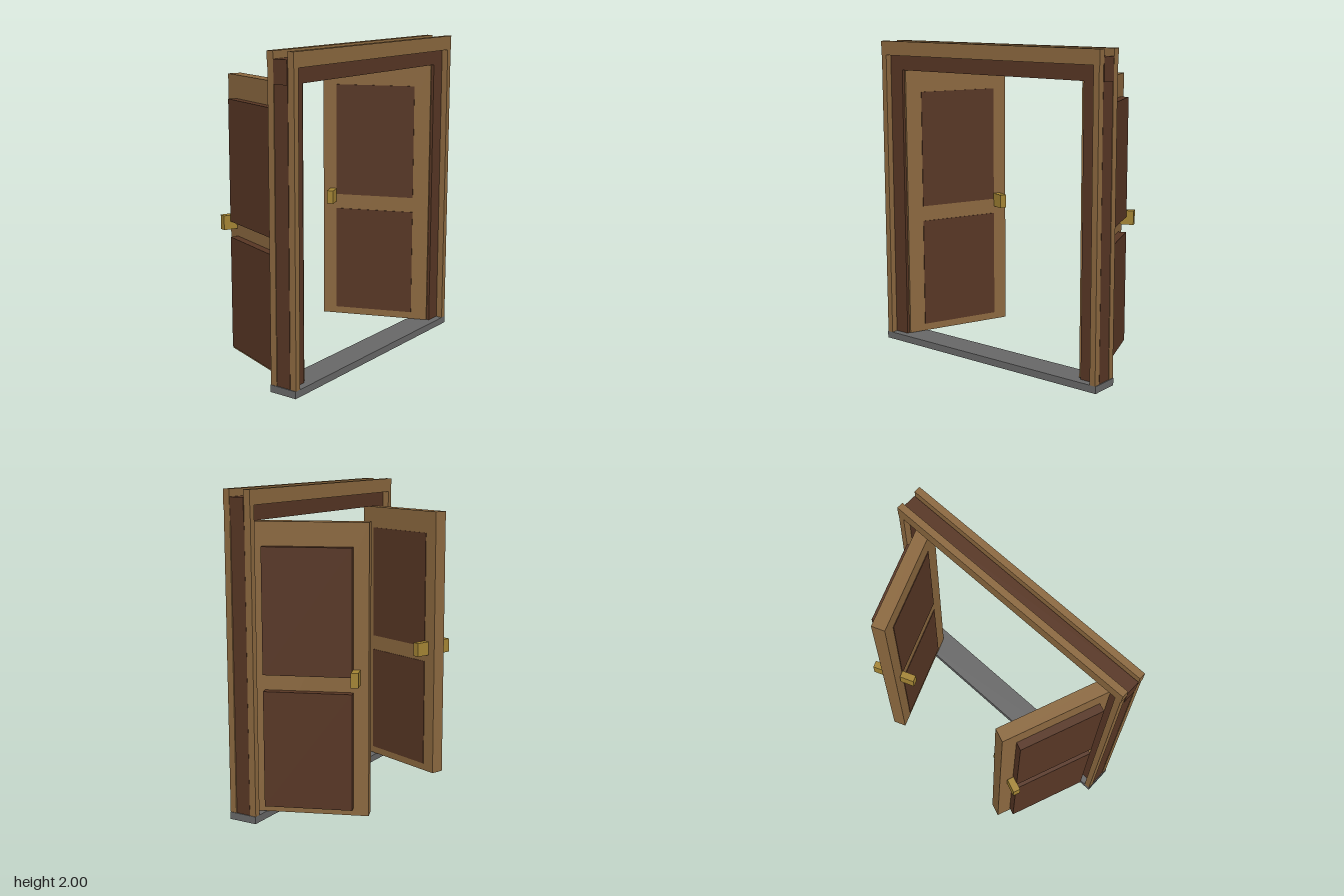
import * as THREE from 'three';

const mat = (name, color) => {
  const m = new THREE.MeshStandardMaterial({ color });
  m.name = name;
  return m;
};

export function createModel() {
  const wood = mat('light wood', 0x8b683f);
  const darkWood = mat('dark wood', 0x573624);
  const brass = mat('brass', 0xa38434);
  const stone = mat('grey stone', 0x676767);

  // Box given by its lower and upper limits on each axis
  const box = (parent, name, material, [x0, x1], [y0, y1], [z0, z1]) => {
    const mesh = new THREE.Mesh(new THREE.BoxGeometry(x1 - x0, y1 - y0, z1 - z0), material);
    mesh.name = name;
    mesh.position.set((x0 + x1) / 2, (y0 + y1) / 2, (z0 + z1) / 2);
    parent.add(mesh);
  };

  const model = new THREE.Group();
  model.name = 'doubleDoor';

  // Door frame: sill, header and trims on both faces
  const frame = new THREE.Group();
  frame.name = 'frame';
  model.add(frame);
  const jambZ = [0.245, 0.34];
  const trims = { front: [0.344, 0.386], back: [0.2, 0.243] };
  const full = [-0.855, 0.855];
  box(frame, 'sill', stone, full, [0.001, 0.046], [0.2, 0.386]);
  box(frame, 'header', darkWood, full, [1.815, 1.955], jambZ);
  for (const [side, z] of Object.entries(trims)) {
    box(frame, side + 'HeaderTrim', wood, full, [1.91, 2], z);
  }

  for (const [side, s] of [['left', 1], ['right', -1]]) {
    const span = (a, b) => (s > 0 ? [a, b] : [-b, -a]);

    // Upright jamb, passing through the sill, with its trims
    box(frame, side + 'Jamb', darkWood, span(0.715, 0.849), [0, 1.815], jambZ);
    for (const [face, z] of Object.entries(trims)) {
      box(frame, `${side}${face}PostTrim`, wood, span(0.812, 0.851), [0.046, 1.91], z);
    }

    // Door swung open backwards; local x runs from the hinge to the free edge
    const door = new THREE.Group();
    door.name = side + 'Door';
    door.position.set(s * 0.737, 0, 0.313);
    door.rotation.y = s > 0 ? Math.PI - 1.2 : 1.2;
    model.add(door);

    // Local z is mirrored so that negative depth is always the outer side
    const depth = (a, b) => (s > 0 ? [-b, -a] : [a, b]);
    box(door, 'doorLeaf', wood, [0, 0.735], [0.05, 1.813], depth(-0.043, 0.043));
    for (const [name, y] of [['lowerPanel', [0.097, 0.81]], ['upperPanel', [0.91, 1.67]]]) {
      box(door, name, darkWood, [0.108, 0.643], y, depth(-0.094, 0.047));
    }
    for (const [name, z] of [['outerHandle', [-0.139, -0.049]], ['innerHandle', [0.049, 0.143]]]) {
      box(door, name, brass, [0.641, 0.686], [0.86, 0.95], depth(...z));
    }
  }
  return model;
}
